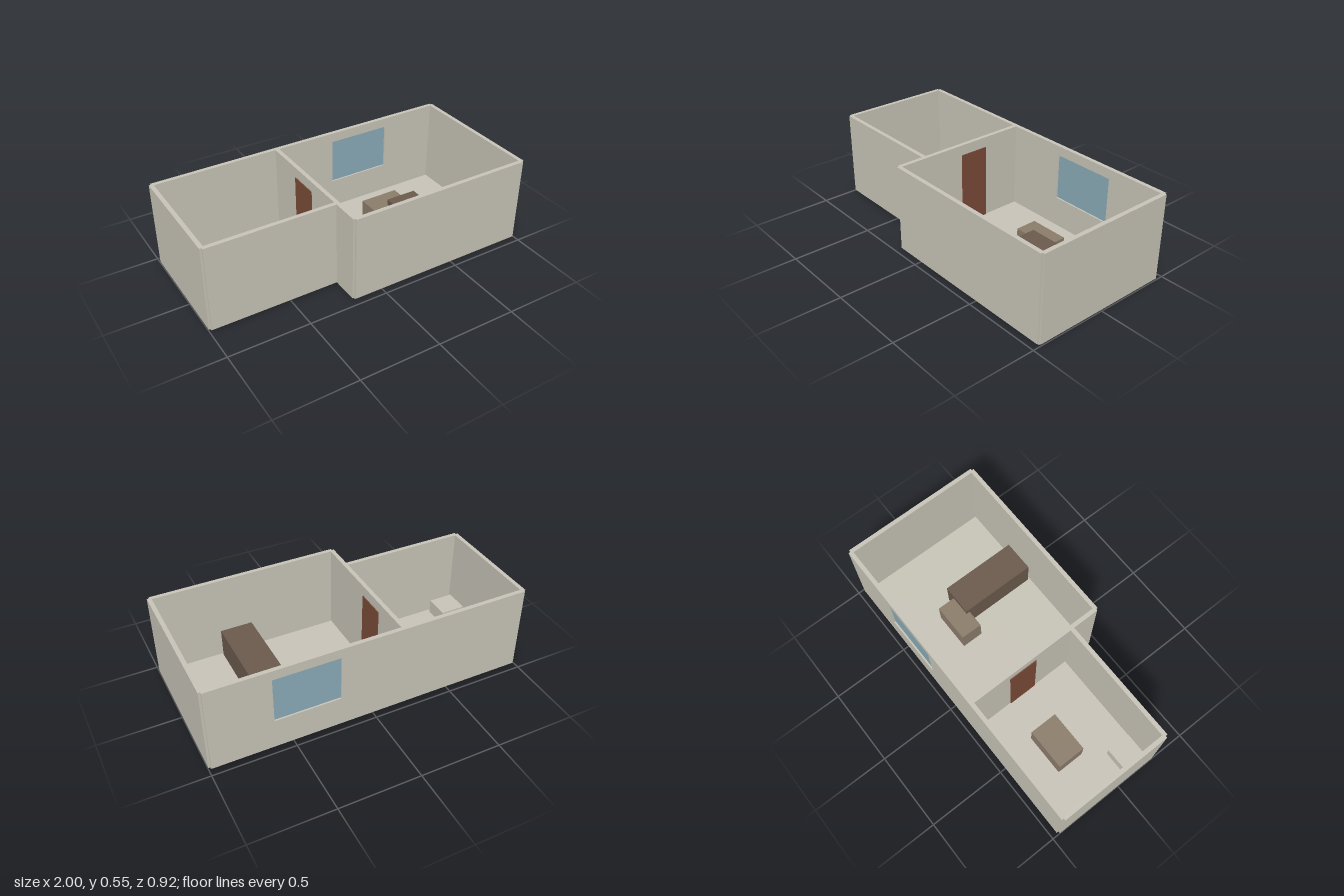
import * as THREE from 'three';

const mat = (name, hex) => {
  const m = new THREE.MeshStandardMaterial({ color: hex });
  m.name = name;
  return m;
};

export function createModel() {
  const plaster = mat('warm grey plaster', 0xc8c4b8);
  const wood = mat('light brown wood', 0x8b7d6b);
  const darkWood = mat('dark brown wood', 0x6b5b4d);
  const doorWood = mat('red brown door', 0x7a4b38);
  const glass = mat('blue glass', 0x8aabb8);

  const model = new THREE.Group();
  model.name = 'twoRoomHouse';

  const add = (name, geometry, material) => {
    const mesh = new THREE.Mesh(geometry, material);
    mesh.name = name;
    model.add(mesh);
    return mesh;
  };
  // box given by its limits on each axis
  const box = (name, material, [x0, x1], [y0, y1], [z0, z1]) => {
    const mesh = add(name, new THREE.BoxGeometry(x1 - x0, y1 - y0, z1 - z0), material);
    mesh.position.set((x0 + x1) / 2, (y0 + y1) / 2, (z0 + z1) / 2);
  };

  // wall centre lines, thickness and heights
  const X = 0.987, Z = 0.449, MID = -0.185, STEP = 0.265;
  const T = 0.026, H = T / 2, FLOOR = 0.01, TOP = 0.55;

  // L-shaped floor slab
  const plan = new THREE.Shape([
    [-X, -STEP], [MID, -STEP], [MID, -Z], [X, -Z], [X, Z], [-X, Z],
  ].map(([x, y]) => new THREE.Vector2(x, y)));
  const slab = new THREE.ExtrudeGeometry(plan, { depth: FLOOR, bevelEnabled: false });
  slab.rotateX(-Math.PI / 2);
  add('floor', slab, plaster);

  // walls stop at the centre lines, leaving small notches at the corners
  const wallX = (name, x0, x1, z) => box(name, plaster, [x0, x1], [FLOOR, TOP], [z - H, z + H]);
  const wallZ = (name, x, z0, z1) => box(name, plaster, [x - H, x + H], [FLOOR, TOP], [z0, z1]);
  wallX('largeRoomFrontWall', MID, X, Z);
  wallX('smallRoomFrontWall', -X, MID, STEP);
  wallZ('largeRoomEndWall', X, -Z, Z);
  wallZ('smallRoomEndWall', -X, -Z, STEP);
  wallZ('partitionWall', MID, -Z, Z);

  // back wall with a window opening
  const rect = (target, x0, x1, y0, y1) =>
    target.moveTo(x0, y0).lineTo(x1, y0).lineTo(x1, y1).lineTo(x0, y1).closePath();
  const win = [0.206, 0.61, 0.2, 0.49];
  const face = rect(new THREE.Shape(), -X, X, FLOOR, TOP);
  face.holes.push(rect(new THREE.Path(), ...win));
  const backWall = new THREE.ExtrudeGeometry(face, { depth: T, bevelEnabled: false });
  backWall.translate(0, 0, -Z - H);
  add('backWall', backWall, plaster);
  box('windowPane', glass, [win[0], win[1]], [win[2], win[3]], [-Z - 0.0025, -Z + 0.0025]);

  // door standing slightly proud of both sides of the partition
  box('door', doorWood, [MID - 0.018, MID + 0.018], [FLOOR, 0.485], [-0.185, 0.003]);

  // furniture
  box('counter', darkWood, [0.39, 0.592], [FLOOR, 0.195], [-0.07, 0.423]);
  box('largeRoomTable', wood, [0.278, 0.526], [FLOOR, 0.16], [-0.185, -0.047]);
  box('smallRoomTable', wood, [-0.717, -0.452], [FLOOR, 0.16], [-0.226, -0.047]);
  box('cornerUnit', plaster, [-0.968, -0.81], [FLOOR, 0.1], [0.075, 0.23]);

  return model;
}
